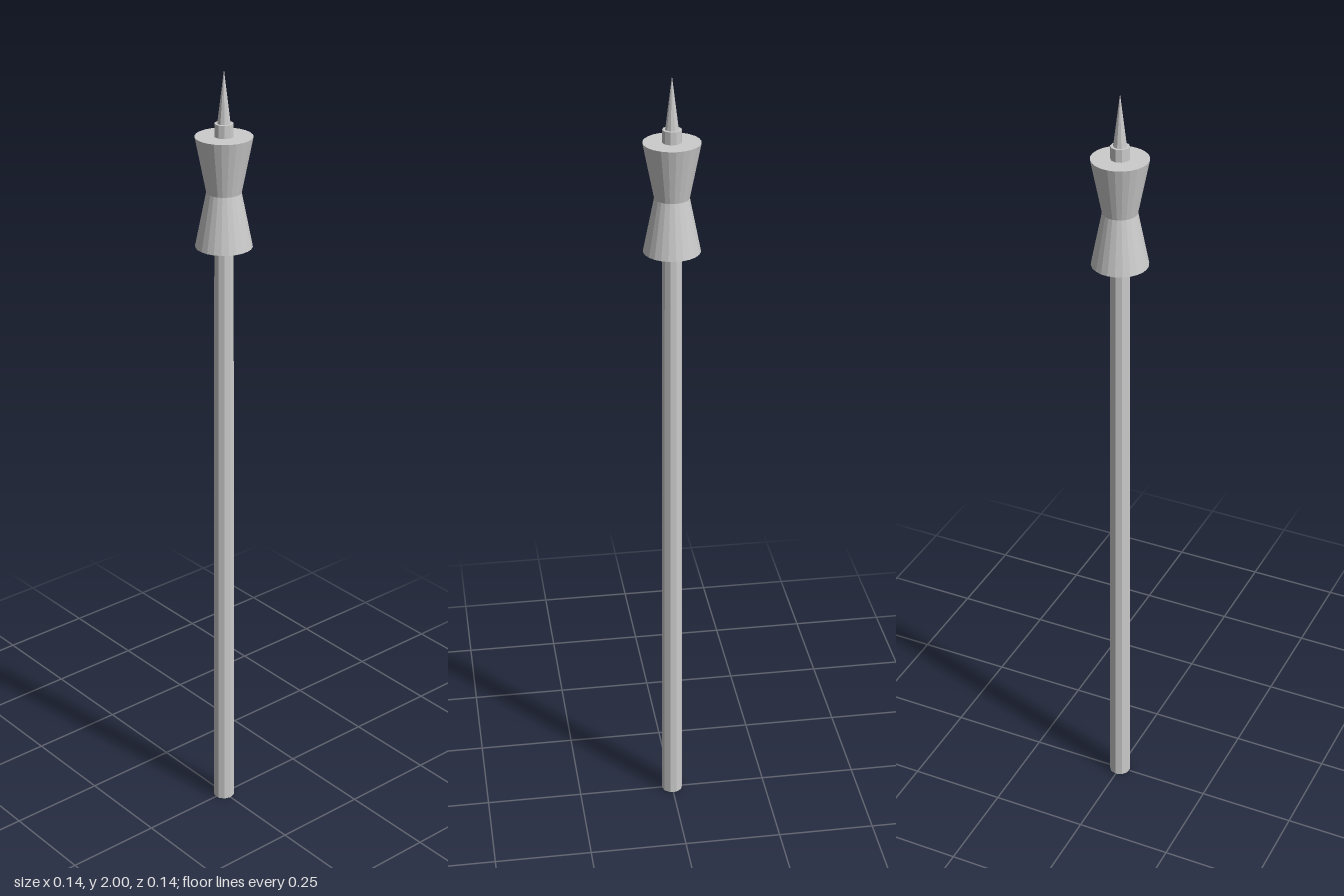
import * as THREE from 'three';

const material = new THREE.MeshStandardMaterial({ color: 0xcccccc, flatShading: true });

// Solid of revolution from [radius, height] pairs, bottom to top
function turned(name, profile, sides) {
  const points = profile.map(([r, y]) => new THREE.Vector2(r, y));
  const mesh = new THREE.Mesh(new THREE.LatheGeometry(points, sides), material);
  mesh.name = name;
  return mesh;
}

export function createModel() {
  const group = new THREE.Group();
  group.name = 'spikedPole';

  // Slightly tapered shaft running up through the head
  group.add(turned('shaft', [[0, 0], [0.028, 0], [0.023, 1.873], [0, 1.873]], 10));

  // Hourglass head
  group.add(turned('hourglassHead',
    [[0, 1.572], [0.069, 1.572], [0.042, 1.706], [0.069, 1.842], [0, 1.842]], 24));

  // Pointed tip
  group.add(turned('spike', [[0, 1.873], [0.016, 1.873], [0, 2]], 10));

  return group;
}
